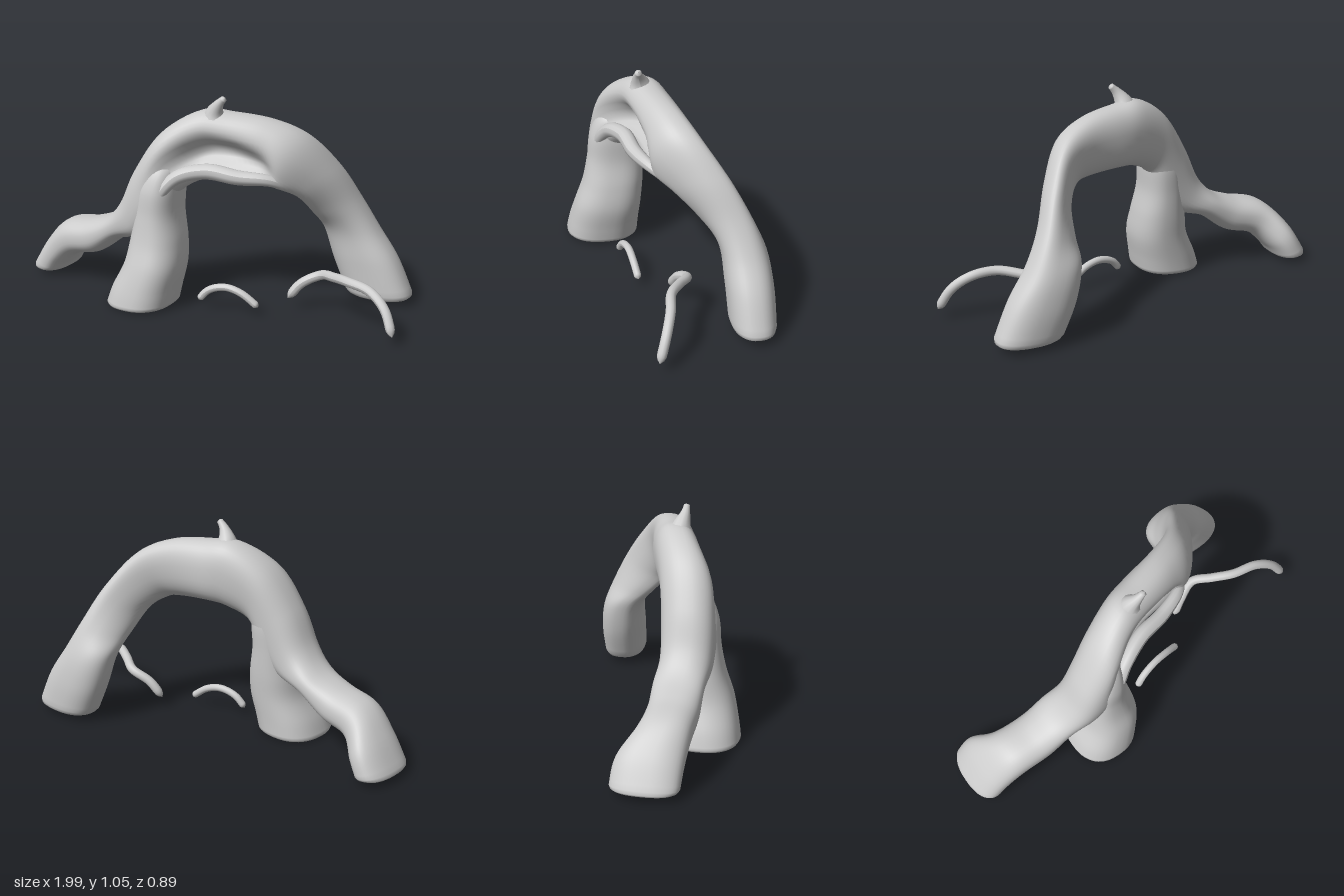
import * as THREE from 'three';

const material = new THREE.MeshStandardMaterial({ color: 0xcccccc, side: THREE.DoubleSide });
const v = (x, y, z) => new THREE.Vector3(x, y, z);

function addMesh(group, name, geometry) {
  geometry.computeVertexNormals();
  const mesh = new THREE.Mesh(geometry, material);
  mesh.name = name;
  group.add(mesh);
}

// Lofts a hollow limb. Station: outer xyz, inner xyz, half depth in z, front groove strength and height.
function limb(stations, rimEnd, rings, sides = 40) {
  const curve = pick => new THREE.CatmullRomCurve3(stations.map(pick), false, 'catmullrom');
  const outer = curve(s => v(s[0], s[1], s[2]));
  const inner = curve(s => v(s[3], s[4], s[5]));
  const form = curve(s => v(s[6], s[7] ?? 0, s[8] ?? -0.22));
  // Position along the limb and scale of each ring, with rolled-in rims
  const list = [[0, 0.7], [0, 0.86], [0.003, 0.95]];
  for (let i = 1; i < rings; i++) list.push([i / rings, 1]);
  if (rimEnd) list.push([0.997, 0.95], [1, 0.86], [1, 0.7]);
  else list.push([1, 1]);
  const pos = [], index = [];
  list.forEach(([t, scale], i) => {
    const o = outer.getPoint(t), n = inner.getPoint(t), f = form.getPoint(t);
    const centre = o.clone().add(n).multiplyScalar(0.5);
    const u = o.sub(n).multiplyScalar(0.5 * scale);
    for (let j = 0; j < sides; j++) {
      const a = j / sides * Math.PI * 2;
      const c = Math.sign(Math.cos(a)) * Math.abs(Math.cos(a)) ** 0.85;
      const s = Math.sign(Math.sin(a)) * Math.abs(Math.sin(a)) ** 0.85;
      const groove = s > 0 ? 1 - f.y * Math.exp(-(((c - f.z) / 0.4) ** 2)) : 1;
      const p = centre.clone().addScaledVector(u, c);
      pos.push(p.x, p.y, p.z + f.x * scale * s * groove);
      if (i < list.length - 1) {
        const k = i * sides, j2 = (j + 1) % sides;
        index.push(k + j, k + sides + j, k + j2, k + j2, k + sides + j, k + sides + j2);
      }
    }
  });
  const geo = new THREE.BufferGeometry();
  geo.setAttribute('position', new THREE.Float32BufferAttribute(pos, 3));
  geo.setIndex(index);
  return geo;
}

// Tube whose radius follows a rule along its length.
function strand(points, radius, rings = 48, sides = 12) {
  const curve = new THREE.CatmullRomCurve3(points.map(p => v(...p)));
  const geo = new THREE.TubeGeometry(curve, rings, 1, sides, false);
  const p = geo.attributes.position;
  for (let i = 0; i <= rings; i++) {
    const c = curve.getPointAt(i / rings), r = radius(i / rings);
    for (let j = 0; j <= sides; j++) {
      const k = i * (sides + 1) + j;
      const q = v(p.getX(k), p.getY(k), p.getZ(k)).sub(c).multiplyScalar(r).add(c);
      p.setXYZ(k, q.x, q.y, q.z);
    }
  }
  return geo;
}

export function createModel() {
  const group = new THREE.Group();
  group.name = 'archedRoot';

  // Great arch, from the left foot over the crown to the right toe
  addMesh(group, 'mainArch', limb([
    [0.885, 0.035, -0.345, 0.55, 0.025, -0.335, 0.105],
    [0.80, 0.22, -0.335, 0.475, 0.2, -0.33, 0.11],
    [0.70, 0.37, -0.32, 0.435, 0.36, -0.3, 0.105],
    [0.62, 0.52, -0.28, 0.425, 0.46, -0.2, 0.105],
    [0.54, 0.70, -0.19, 0.40, 0.57, -0.08, 0.11],
    [0.43, 0.865, -0.08, 0.33, 0.625, 0.02, 0.11, 0.15, -0.6],
    [0.28, 0.94, -0.01, 0.24, 0.645, 0.04, 0.105, 0.7, -0.38],
    [0.09, 0.965, 0.05, 0.07, 0.655, 0.06, 0.11, 0.95],
    [-0.05, 0.965, 0.09, -0.02, 0.635, 0.1, 0.115, 0.85],
    [-0.21, 0.86, 0.155, -0.12, 0.57, 0.165, 0.13, 0.3],
    [-0.335, 0.67, 0.19, -0.17, 0.45, 0.18, 0.13],
    [-0.415, 0.495, 0.195, -0.27, 0.335, 0.19, 0.125],
    [-0.50, 0.4, 0.18, -0.43, 0.285, 0.18, 0.12],
    [-0.62, 0.35, 0.18, -0.57, 0.185, 0.18, 0.12],
    [-0.78, 0.31, 0.165, -0.71, 0.145, 0.17, 0.125],
    [-0.90, 0.195, 0.12, -0.79, 0.075, 0.13, 0.155],
    [-1.0, 0.035, 0.115, -0.83, 0.02, 0.11, 0.16],
  ], true, 112));

  // Broad front leg that flares to a hollow foot
  addMesh(group, 'frontLeg', limb([
    [-0.115, 0.01, 0.265, -0.45, 0.0, 0.265, 0.18],
    [-0.10, 0.09, 0.255, -0.42, 0.09, 0.255, 0.175],
    [-0.08, 0.21, 0.235, -0.365, 0.21, 0.235, 0.165],
    [-0.09, 0.33, 0.21, -0.345, 0.33, 0.21, 0.15],
    [-0.115, 0.46, 0.195, -0.325, 0.46, 0.195, 0.14],
    [-0.115, 0.58, 0.185, -0.3, 0.61, 0.185, 0.135],
    [-0.12, 0.67, 0.17, -0.24, 0.72, 0.17, 0.1],
    [-0.14, 0.72, 0.16, -0.2, 0.74, 0.16, 0.02],
  ], false, 48));

  // Thin lower ridge framing the hollow under the crown
  addMesh(group, 'lowerRidge', strand([
    [-0.21, 0.42, 0.27], [-0.17, 0.57, 0.28], [-0.1, 0.66, 0.235], [0.03, 0.695, 0.175],
    [0.18, 0.68, 0.14], [0.32, 0.67, 0.08], [0.41, 0.6, -0.03],
  ], t => 0.014 + 0.024 * Math.sin(Math.PI * t)));

  // Small bent spur on the crown, flat at its tip
  addMesh(group, 'crownSpur', strand([
    [0.02, 0.90, 0.085], [0.027, 0.96, 0.095], [0.055, 1.01, 0.107], [0.09, 1.048, 0.11],
  ], t => t > 0.99 ? 0.001 : 0.015 + 0.065 * (1 - t) ** 1.6, 24));

  // Loose tendrils with rounded ends
  const taper = r => t => r * Math.max(0.02, Math.min(1, Math.sqrt(Math.min(t, 1 - t) * 22)));
  addMesh(group, 'smallTendril', strand([
    [0.0, 0.045, 0.205], [0.05, 0.1, 0.19], [0.13, 0.124, 0.172], [0.21, 0.105, 0.158], [0.295, 0.045, 0.14],
  ], taper(0.018)));
  addMesh(group, 'largeTendril', strand([
    [0.38, 0.06, 0.0], [0.44, 0.14, -0.03], [0.53, 0.19, -0.06], [0.62, 0.215, -0.01],
    [0.72, 0.23, 0.04], [0.84, 0.215, 0.06], [0.93, 0.155, 0.09], [0.99, 0.045, 0.128],
  ], taper(0.023)));
  return group;
}
